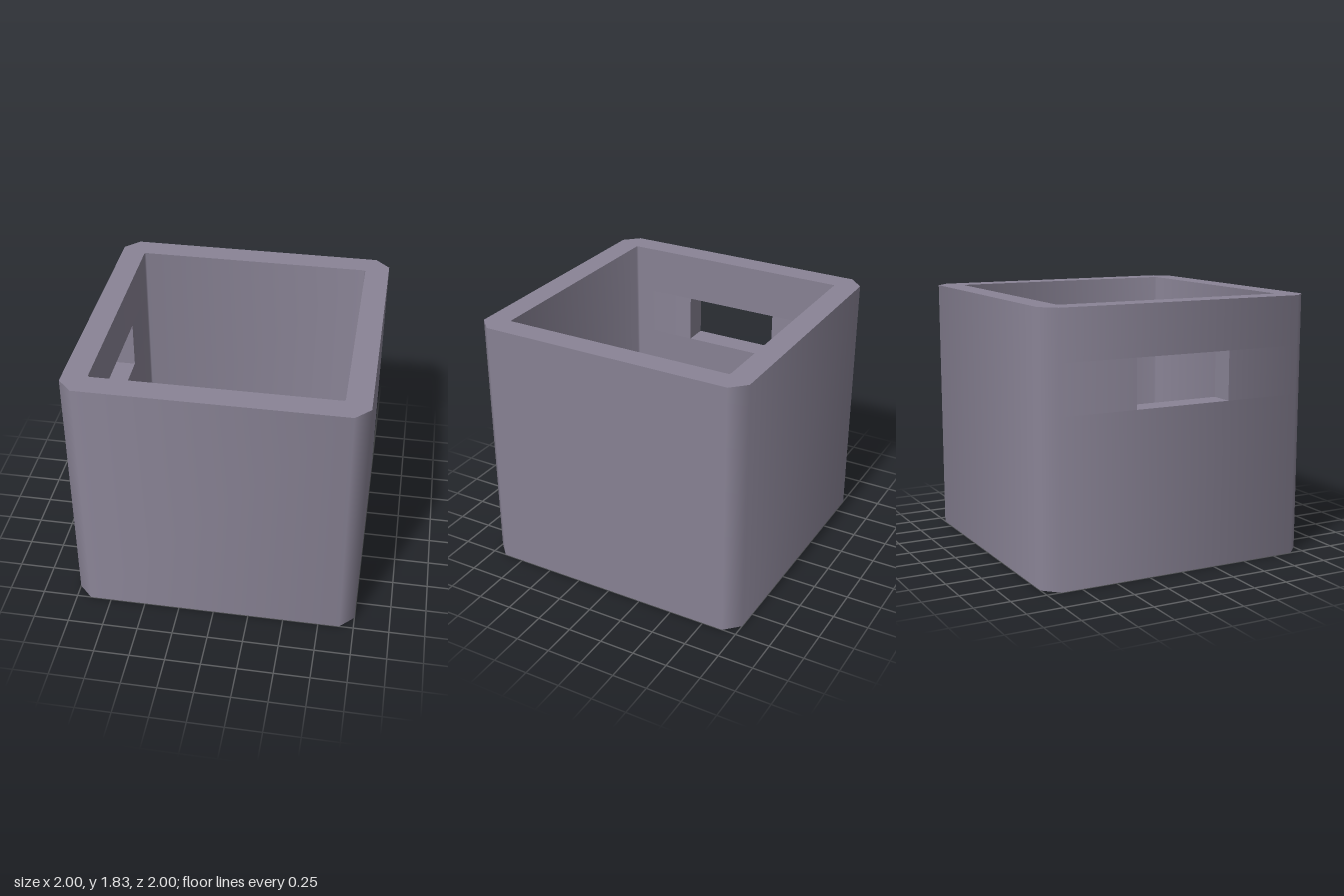
import * as THREE from 'three';
import { mergeGeometries } from 'three/addons/utils/BufferGeometryUtils.js';

const H = 1.83, FLOOR = 0.17;
const HOLE = { z: 0.35, y0: 1.145, y1: 1.485 }; // handle opening in the -x wall

// Chamfered square, walked so that the outside is on the right-hand side
function loop(r, c) {
  const k = r - c;
  return [[-k, r], [k, r], [r, k], [r, -k], [k, -r], [-k, -r], [-r, -k], [-r, k]];
}

// Four-cornered face with optional smooth normals
function quad(points, normals) {
  const g = new THREE.BufferGeometry().setFromPoints(points);
  g.setIndex([0, 1, 2, 0, 2, 3]);
  if (normals) {
    g.setAttribute('normal', new THREE.Float32BufferAttribute(normals.flatMap(n => n.toArray()), 3));
  } else g.computeVertexNormals();
  return g;
}

// Upright skin around a loop, shaded smoothly over the chamfers
function skin(r, c, y0, y1, inward) {
  const pts = loop(r, c), parts = [], sign = inward ? -1 : 1;
  const corners = pts.map(([x, z], i) => {
    const a = Math.PI / 8 * (1 - 2 * i) - Math.PI / 4;
    return {
      p: new THREE.Vector3(x, 0, z),
      n: new THREE.Vector3(-Math.sin(a + Math.PI / 4 + Math.PI / 4 - Math.PI / 4), 0, 0)
        .set(Math.sin(-a - Math.PI / 8 * 3 + Math.PI / 8 - 0), 0, Math.cos(-a - Math.PI / 4)),
    };
  });
  // Each corner normal lies halfway between its two neighbouring faces
  corners.forEach((v, i) => {
    const a = (2 * i - 1) * Math.PI / 8;
    v.n.set(Math.sin(a), 0, Math.cos(a)).multiplyScalar(sign);
  });
  corners.forEach((a, i) => {
    const b = corners[(i + 1) % 8];
    const patch = (t0, t1, lo, hi) => {
      const [s, e] = inward ? [t1, t0] : [t0, t1];
      const at = (t, y) => a.p.clone().lerp(b.p, t).setY(y);
      const nor = t => a.n.clone().lerp(b.n, t).normalize();
      parts.push(quad([at(s, lo), at(e, lo), at(e, hi), at(s, hi)], [nor(s), nor(e), nor(e), nor(s)]));
    };
    if (i !== 6) return patch(0, 1, y0, y1);
    // Wall with the handle opening
    const t = 0.5 - HOLE.z / (2 * (r - c));
    patch(0, 1, y0, HOLE.y0);
    patch(0, 1, HOLE.y1, y1);
    patch(0, t, HOLE.y0, HOLE.y1);
    patch(1 - t, 1, HOLE.y0, HOLE.y1);
  });
  return mergeGeometries(parts);
}

// Flat level face, optionally with a cut-out
function level(r, c, y, up, cut) {
  const outline = (rr, cc) => loop(rr, cc).map(p => new THREE.Vector2(...p));
  const shape = new THREE.Shape(outline(r, c));
  if (cut) shape.holes.push(new THREE.Path(outline(...cut)));
  return new THREE.ShapeGeometry(shape).rotateX(up ? -Math.PI / 2 : Math.PI / 2).translate(0, y, 0);
}

// Four sides of the opening through the wall thickness
function reveal(xOut, xIn) {
  const { z, y0, y1 } = HOLE;
  const ring = [[-z, y0], [z, y0], [z, y1], [-z, y1]];
  return mergeGeometries(ring.map(([za, ya], i) => {
    const [zb, yb] = ring[(i + 1) % 4];
    return quad([
      new THREE.Vector3(xOut, ya, za), new THREE.Vector3(xOut, yb, zb),
      new THREE.Vector3(xIn, yb, zb), new THREE.Vector3(xIn, ya, za),
    ]);
  }));
}

export function createModel() {
  const group = new THREE.Group();
  group.name = 'openBox';
  const grey = new THREE.MeshStandardMaterial({ color: 0x8a8496 });
  grey.name = 'mauveGrey';
  const outer = [1, 0.1], inner = [0.83, 0.01];

  const add = (name, geometry) => {
    const mesh = new THREE.Mesh(geometry, grey);
    mesh.name = name;
    group.add(mesh);
  };
  add('outerWalls', skin(...outer, 0, H, false));
  add('innerWalls', skin(...inner, FLOOR, H, true));
  add('rim', level(...outer, H, true, inner));
  add('innerFloor', level(...inner, FLOOR, true));
  add('underside', level(...outer, 0, false));
  add('handleOpening', reveal(-1, -0.83));
  return group;
}
